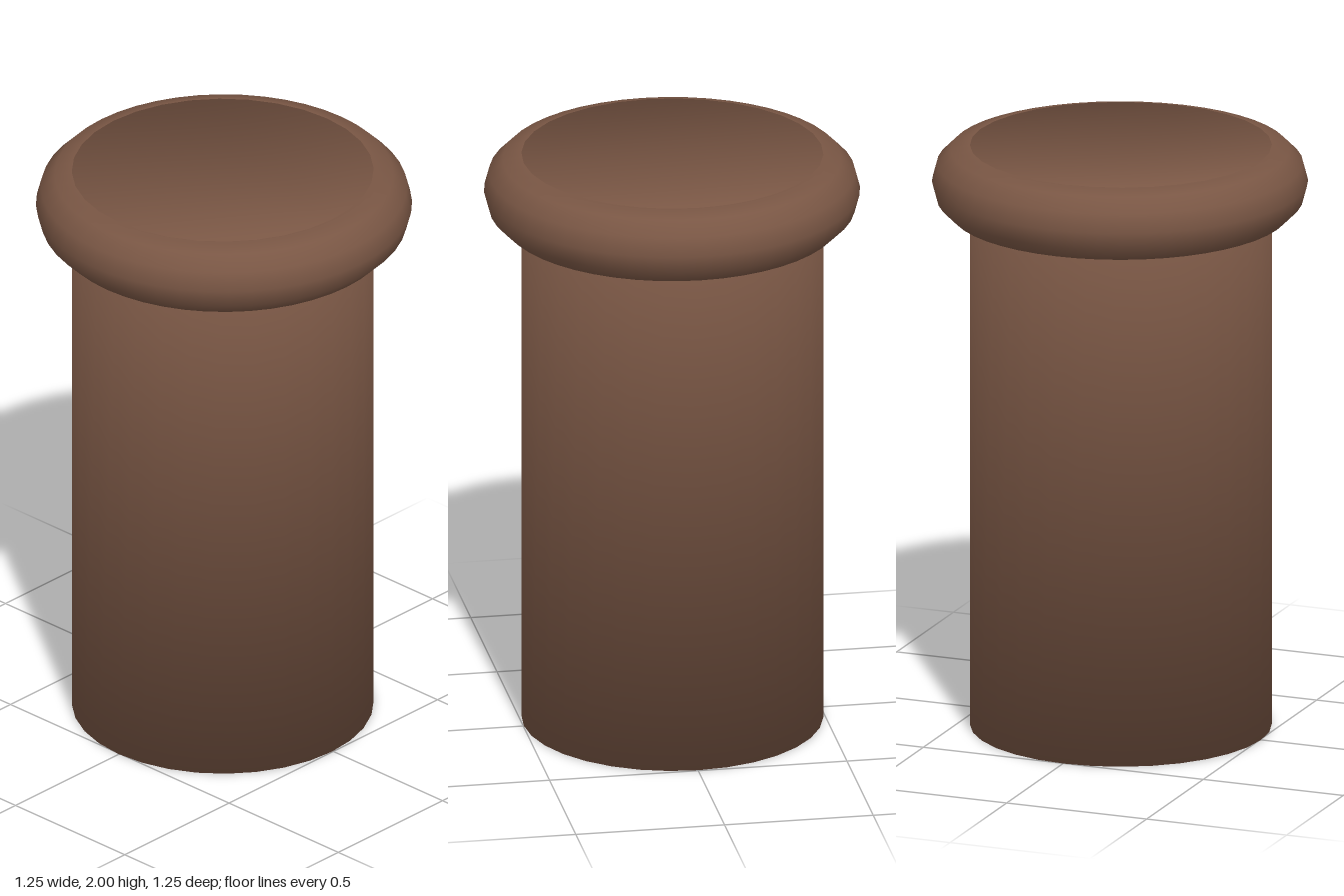
import * as THREE from 'three';

// Closed cylinder whose caps and wall share rim vertices, so shading rolls softly over the edges
function softCylinder(radius, height, sides) {
  const positions = [], normals = [], index = [];
  for (const end of [0, 1]) {
    for (let i = 0; i < sides; i++) {
      const a = (i / sides) * Math.PI * 2;
      const s = Math.sin(a), c = Math.cos(a);
      positions.push(radius * s, end * height, radius * c);
      normals.push(s * Math.SQRT1_2, (end * 2 - 1) * Math.SQRT1_2, c * Math.SQRT1_2);
    }
  }
  for (let i = 0; i < sides; i++) {
    const j = (i + 1) % sides;
    index.push(i, j, sides + j, i, sides + j, sides + i); // wall
    if (i > 0 && j > 0) {
      index.push(0, j, i); // bottom cap
      index.push(sides, sides + i, sides + j); // top cap
    }
  }
  const geometry = new THREE.BufferGeometry();
  geometry.setAttribute('position', new THREE.Float32BufferAttribute(positions, 3));
  geometry.setAttribute('normal', new THREE.Float32BufferAttribute(normals, 3));
  geometry.setIndex(index);
  return geometry;
}

export function createModel() {
  const group = new THREE.Group();
  group.name = 'rimmedPost';

  const brown = new THREE.MeshStandardMaterial({ color: 0x795644 });
  brown.name = 'brown';

  // Upright body
  const body = new THREE.Mesh(softCylinder(0.5, 2, 32), brown);
  body.name = 'body';
  body.position.set(-0.004, 0, -0.002);
  group.add(body);

  // Rounded ring around the top
  const rim = new THREE.Mesh(new THREE.TorusGeometry(0.498, 0.125, 12, 48), brown);
  rim.name = 'topRim';
  rim.rotation.x = Math.PI / 2;
  rim.position.y = 1.875;
  group.add(rim);

  return group;
}
